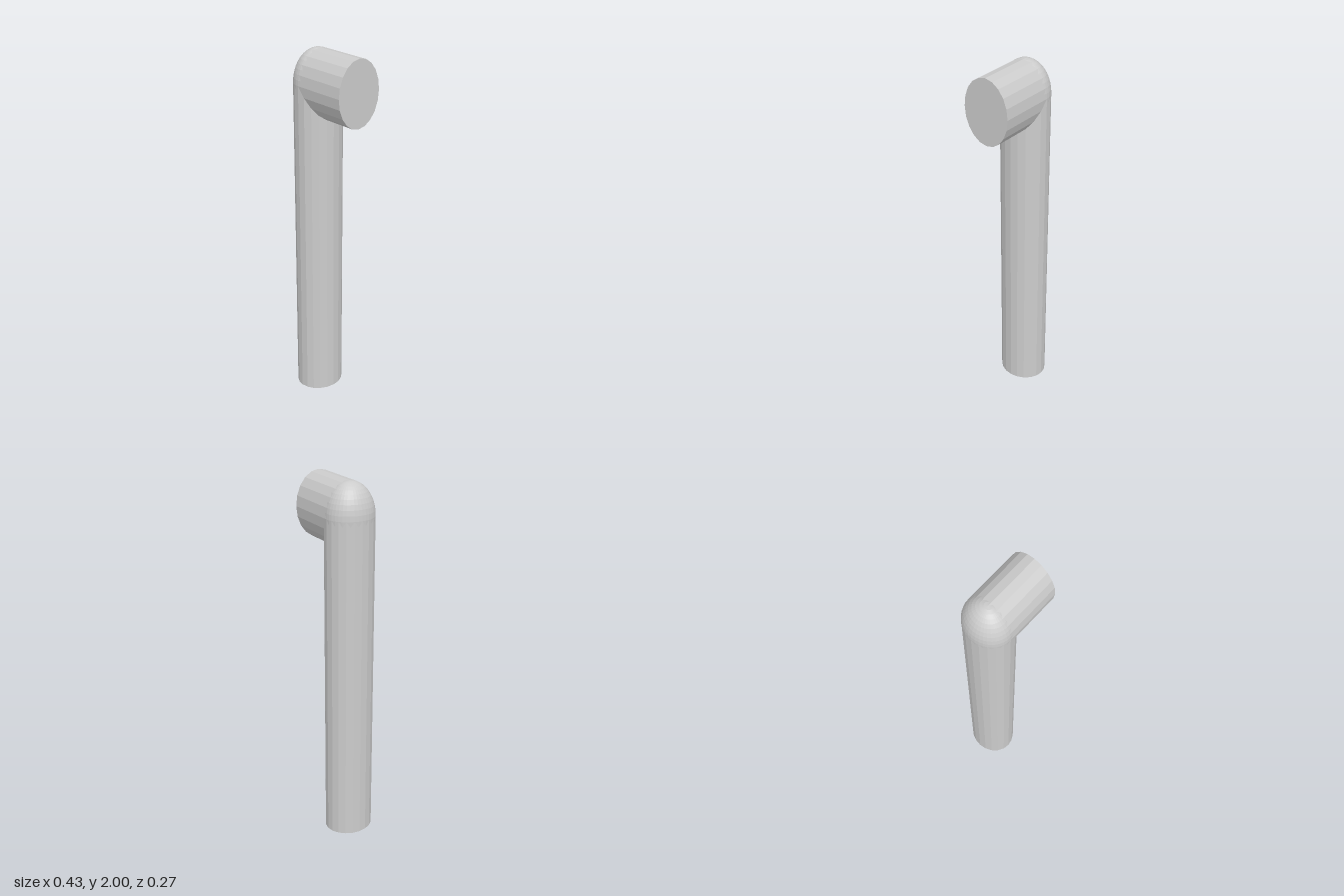
import * as THREE from 'three';

// Elliptical half-axes of the bend and its centre
const RX = 0.121, RY = 0.18, RZ = 0.135;
const CX = -0.094, CY = 1.82, END_X = 0.215;
const SIDES = 20;

export function createModel() {
  const group = new THREE.Group();
  const material = new THREE.MeshStandardMaterial({ color: 0xcccccc, flatShading: true });

  const add = (name, geometry) => {
    const mesh = new THREE.Mesh(geometry, material);
    mesh.name = name;
    group.add(mesh);
  };

  // Upright pipe: the inner half of its top edge is mitred down to meet the arm
  const upright = new THREE.CylinderGeometry(1, 1, CY, SIDES);
  upright.scale(RX, 1, RZ).translate(0, CY / 2, 0);
  let p = upright.attributes.position;
  for (let i = 0; i < p.count; i++) {
    if (p.getY(i) > CY / 2) p.setY(i, CY - (Math.max(0, p.getX(i)) / RX) * RY);
  }
  upright.translate(CX, 0, 0);
  add('uprightPipe', upright);

  // Short arm pointing to +x, its lower inner edge mitred to the same line
  const length = END_X - CX;
  const arm = new THREE.CylinderGeometry(1, 1, length, SIDES);
  arm.rotateZ(-Math.PI / 2).scale(1, RY, RZ).translate(length / 2, 0, 0);
  p = arm.attributes.position;
  for (let i = 0; i < p.count; i++) {
    if (p.getX(i) < length / 2) p.setX(i, (Math.max(0, -p.getY(i)) / RY) * RX);
  }
  arm.translate(CX, CY, 0);
  add('outletArm', arm);

  // Rounded outer corner of the bend
  const elbow = new THREE.SphereGeometry(1, 40, 20);
  elbow.scale(RX, RY, RZ).translate(CX, CY, 0);
  add('elbowBall', elbow);

  return group;
}
